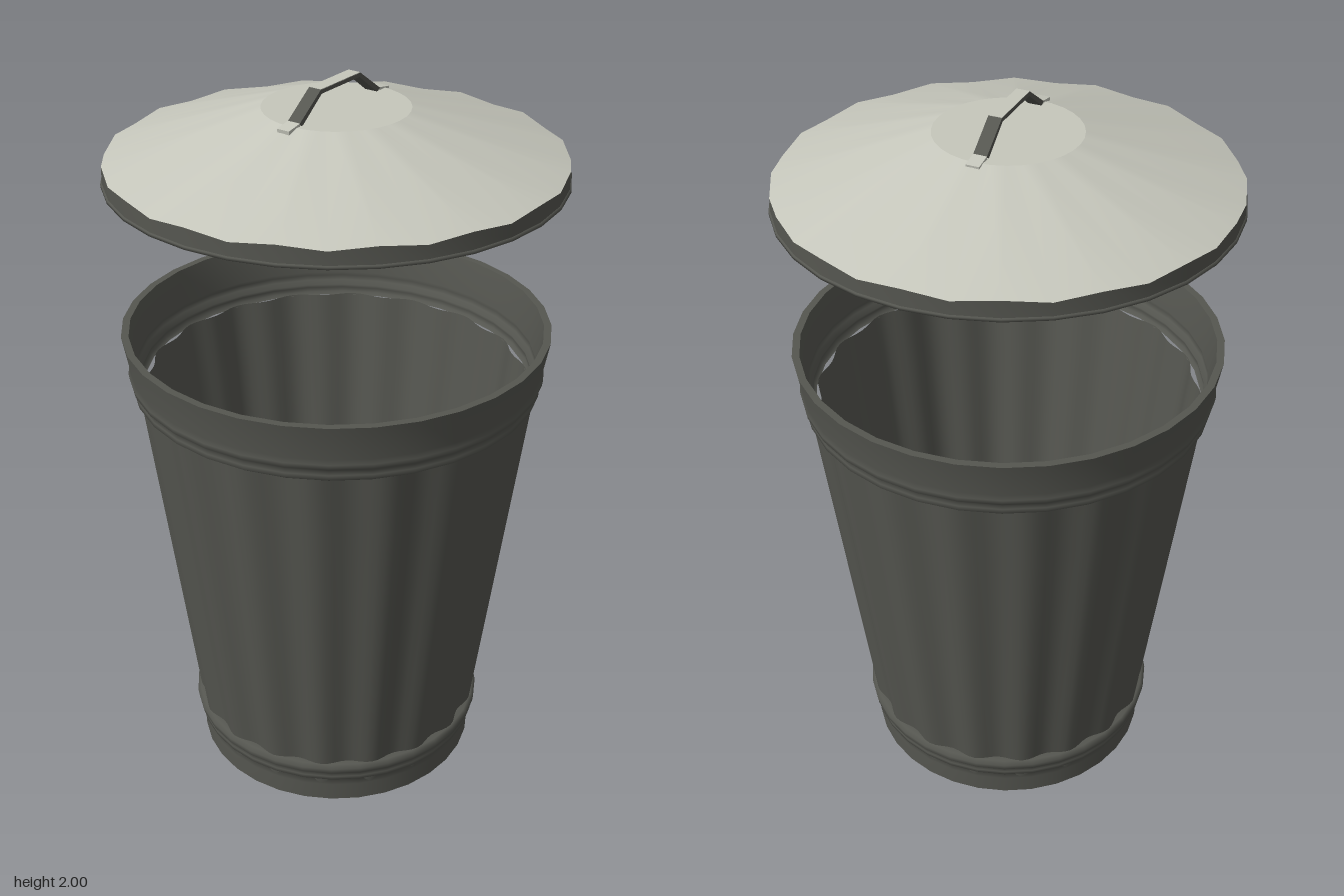
import * as THREE from 'three';
import { mergeVertices } from 'three/addons/utils/BufferGeometryUtils.js';

const FLUTES = 18;
const THICKNESS = 0.02;

// Revolved profile of [radius, y] pairs, welded at the seam, then optionally reshaped
function revolve(points, segments, reshape) {
  const g = new THREE.LatheGeometry(points.map(([r, y]) => new THREE.Vector2(r, y)), segments);
  g.deleteAttribute('uv');
  g.deleteAttribute('normal');
  const welded = mergeVertices(g, 1e-4);
  const p = welded.attributes.position;
  if (reshape) for (let i = 0; i < p.count; i++) reshape(p, i);
  welded.computeVertexNormals();
  return welded;
}

// The same profile seen from inside the can
const inside = (points) => points.map(([r, y]) => [r - THICKNESS, y]).reverse();

// Presses shallow vertical grooves into a wall
function flute(p, i) {
  const x = p.getX(i), z = p.getZ(i);
  const k = 1 - 0.008 * (1 - Math.cos(Math.atan2(x, z) * FLUTES)) / Math.hypot(x, z);
  p.setX(i, x * k);
  p.setZ(i, z * k);
}

// Drops every second vertex of the lid's upper edge
function scallop(p, i) {
  const y = p.getY(i);
  if (Math.abs(y - 1.806) > 0.001) return;
  const step = Math.round(Math.atan2(p.getX(i), p.getZ(i)) / (Math.PI / 16));
  if (step % 2 !== 0) p.setY(i, y - 0.01);
}

export function createModel() {
  const model = new THREE.Group();
  const darkMetal = new THREE.MeshStandardMaterial({ color: 0x555650 });
  darkMetal.name = 'dark metal';
  const lightMetal = new THREE.MeshStandardMaterial({ color: 0xc6c7bc });
  lightMetal.name = 'light metal';

  const add = (parent, name, geometry, material) => {
    const mesh = new THREE.Mesh(geometry, material);
    mesh.name = name;
    parent.add(mesh);
    return mesh;
  };
  // Level disc or ring, facing up or down
  const addLevel = (parent, name, geometry, material, y, up) => {
    const mesh = add(parent, name, geometry, material);
    mesh.rotation.x = up ? -Math.PI / 2 : Math.PI / 2;
    mesh.position.y = y;
  };

  // Can: fluted wall with a lining, two ridged bands, a rim and a base
  const can = new THREE.Group();
  can.name = 'can';
  model.add(can);

  const wall = [];
  for (let i = 0; i <= 6; i++) {
    const y = 0.02 + 1.15 * i / 6;
    wall.push([0.41 + 0.127 * (y - 0.135), y]);
  }
  add(can, 'flutedWall', revolve(wall, FLUTES * 8, flute), darkMetal);
  add(can, 'flutedLining', revolve(inside(wall), FLUTES * 8, flute), darkMetal);

  add(can, 'bottomBand', revolve([
    [0.4, 0], [0.402, 0.055], [0.4, 0.072], [0.412, 0.083], [0.413, 0.095],
    [0.409, 0.102], [0.419, 0.112], [0.421, 0.128], [0.412, 0.138], [0.39, 0.138],
  ], 32), darkMetal);

  const topBand = [
    [0.542, 1.165], [0.552, 1.172], [0.552, 1.185], [0.548, 1.195],
    [0.56, 1.206], [0.562, 1.22], [0.557, 1.232], [0.575, 1.33],
  ];
  add(can, 'topBand', revolve([[0.518, 1.165], ...topBand], 32), darkMetal);
  add(can, 'topBandLining', revolve(inside(topBand), 32), darkMetal);
  add(can, 'rim', revolve([[0.575, 1.33], [0.575 - THICKNESS, 1.33]], 32), darkMetal);
  addLevel(can, 'base', new THREE.CircleGeometry(0.4, 32), darkMetal, 0, false);
  addLevel(can, 'floor', new THREE.CircleGeometry(0.39, 32), darkMetal, 0.02, true);

  // Lid: light cone with a scalloped lower edge, dark skirt and dark underside
  const lid = new THREE.Group();
  lid.name = 'lid';
  model.add(lid);

  add(lid, 'lidSlope', revolve([[0.593, 1.806], [0.19, 1.93]], 32, scallop), lightMetal);
  addLevel(lid, 'lidCrown', new THREE.CircleGeometry(0.19, 32), lightMetal, 1.93, true);
  add(lid, 'lidSkirt', revolve([[0.594, 1.76], [0.593, 1.806]], 32, scallop), darkMetal);
  add(lid, 'lidFlange', revolve([[0.584, 1.753], [0.598, 1.753], [0.598, 1.76], [0.593, 1.762]], 32), darkMetal);
  add(lid, 'lidUnderside', revolve([[0.19, 1.922], [0.582, 1.787], [0.584, 1.753]], 32), darkMetal);
  addLevel(lid, 'lidCeiling', new THREE.CircleGeometry(0.19, 32), darkMetal, 1.922, false);

  // Handle: bent strap with light tabs and a light grip face
  const handle = new THREE.Group();
  handle.name = 'handle';
  handle.position.x = -0.006;
  lid.add(handle);

  const top = [[-0.172, 1.936], [-0.083, 1.999], [0.083, 1.999], [0.172, 1.936]];
  const under = [[0.16, 1.928], [0.08, 1.988], [-0.08, 1.988], [-0.16, 1.928]];
  const outline = new THREE.Shape([...under, ...top].map(([x, y]) => new THREE.Vector2(x, y)));
  const strap = new THREE.ExtrudeGeometry(outline, { depth: 0.036, bevelEnabled: false });
  strap.translate(0, 0, -0.018);
  add(handle, 'handleStrap', strap, darkMetal);

  const grip = add(handle, 'handleGripFace', new THREE.BoxGeometry(0.166, 0.002, 0.036), lightMetal);
  grip.position.y = 1.999;
  for (const side of [-1, 1]) {
    const tab = add(handle, 'handleTab', new THREE.BoxGeometry(0.045, 0.012, 0.036), lightMetal);
    tab.position.set(side * 0.191, 1.928, 0);
    tab.rotation.z = -side * 0.17;
  }

  return model;
}
